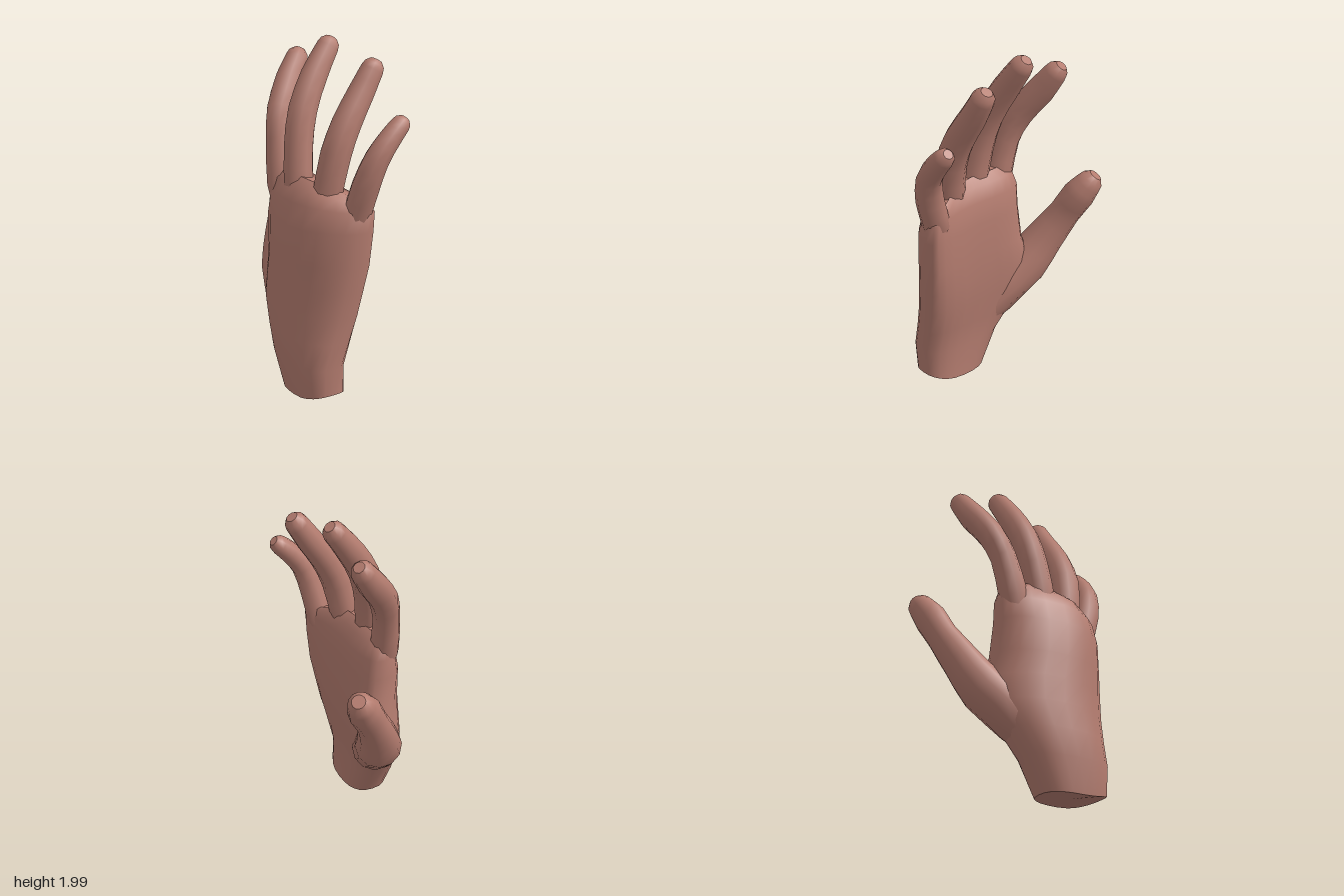
import * as THREE from 'three';

const skin = new THREE.MeshStandardMaterial({ color: 0xb57d70 });
skin.name = 'skin';

// Skin over equal-sized rings (counter-clockwise about the path), closed at both ends
function loft(rings, name) {
  const n = rings[0].length, pos = [], idx = [];
  const add = (p) => pos.push(p.x, p.y, p.z) / 3 - 1;
  rings.forEach((r) => r.forEach(add));
  for (let k = 0; k < rings.length - 1; k++) {
    for (let i = 0; i < n; i++) {
      const a = k * n + i, b = k * n + (i + 1) % n;
      idx.push(a, b, b + n, a, b + n, a + n);
    }
  }
  // caps have their own vertices so that their rims stay sharp
  [rings[0], rings[rings.length - 1]].forEach((r, end) => {
    const mid = new THREE.Vector3();
    r.forEach((p) => mid.addScaledVector(p, 1 / n));
    const c = add(mid), first = c + 1;
    r.forEach(add);
    for (let i = 0; i < n; i++) {
      const a = first + i, b = first + (i + 1) % n;
      if (end) idx.push(c, a, b); else idx.push(c, b, a);
    }
  });
  const g = new THREE.BufferGeometry();
  g.setAttribute('position', new THREE.Float32BufferAttribute(pos, 3));
  g.setIndex(idx);
  g.computeVertexNormals();
  const mesh = new THREE.Mesh(g, skin);
  mesh.name = name;
  return mesh;
}

// Tapered digit along points [x, y, z, radius] with a blunt rounded tip
function digit(name, pts, sides = 10) {
  const curve = new THREE.CatmullRomCurve3(pts.map((p) => new THREE.Vector3(p[0], p[1], p[2])));
  const steps = (pts.length - 1) * 2, rings = [];
  const ring = (c, t, r) => {
    const u = new THREE.Vector3(0, 0, 1).addScaledVector(t, -t.z).normalize();
    const v = new THREE.Vector3().crossVectors(t, u);
    rings.push(Array.from({ length: sides }, (_, i) => {
      const a = (i / sides) * Math.PI * 2;
      return c.clone().addScaledVector(u, r * Math.cos(a)).addScaledVector(v, r * Math.sin(a));
    }));
  };
  for (let s = 0; s <= steps; s++) {
    const k = Math.min(Math.floor(s / 2), pts.length - 2), f = s / 2 - k;
    ring(curve.getPoint(s / steps), curve.getTangent(s / steps), pts[k][3] * (1 - f) + pts[k + 1][3] * f);
  }
  const end = curve.getPoint(1), dir = curve.getTangent(1), r = pts[pts.length - 1][3];
  [[0.5, 0.87], [0.9, 0.5]].forEach(([d, w]) => ring(end.clone().addScaledVector(dir, d * r), dir, r * w));
  return loft(rings, name);
}

// Palm: arched cross-sections from wrist to knuckles
function palm() {
  // y, zMin, zMax, centre x, half thickness, arch on little-finger side, arch on thumb side, drop of the side
  const rows = [
    [0.0, 0.04, 0.455, -0.135, 0.135, 0, 0, -0.04],
    [0.2, -0.065, 0.465, -0.15, 0.145, 0.01, 0.02, 0],
    [0.35, -0.16, 0.475, -0.143, 0.152, 0.05, 0.05, 0],
    [0.5, -0.25, 0.49, -0.13, 0.158, 0.08, 0.08, 0],
    [0.65, -0.25, 0.505, -0.12, 0.16, 0.1, 0.09, 0],
    [0.8, -0.21, 0.52, -0.115, 0.16, 0.125, 0.06, 0],
    [1.0, -0.2, 0.53, -0.11, 0.155, 0.14, 0.03, 0],
    [1.13, -0.2, 0.525, -0.1, 0.13, 0.15, 0.02, 0.02],
    [1.21, -0.18, 0.48, -0.1, 0.095, 0.15, 0.01, 0.06],
    [1.255, -0.12, 0.4, -0.1, 0.045, 0.12, 0.0, 0.07],
  ];
  const n = 24, soft = (v, e) => Math.sign(v) * Math.abs(v) ** e;
  return loft(rows.map(([y, z0, z1, x, h, archP, archI, drop]) =>
    Array.from({ length: n }, (_, i) => {
      const a = (i / n) * Math.PI * 2, t = soft(Math.cos(a), 0.8);
      const arch = (t > 0 ? archP : archI) * t * t;
      return new THREE.Vector3(
        x + h * soft(Math.sin(a), 0.75) + arch,
        y - drop * Math.max(t, 0) ** 2,
        (z0 + z1) / 2 + t * (z1 - z0) / 2);
    })), 'palm');
}

export function createModel() {
  const hand = new THREE.Group();
  hand.name = 'hand';
  hand.add(
    palm(),
    digit('littleFinger', [
      [-0.05, 0.85, 0.4, 0.04], [0.015, 1.08, 0.445, 0.08], [0.035, 1.25, 0.498, 0.08],
      [0.082, 1.41, 0.535, 0.072], [0.165, 1.52, 0.543, 0.064], [0.225, 1.58, 0.543, 0.057]]),
    digit('ringFinger', [
      [-0.11, 0.9, 0.26, 0.05], [-0.07, 1.15, 0.28, 0.086], [-0.025, 1.4, 0.3, 0.09],
      [0.05, 1.57, 0.297, 0.086], [0.15, 1.72, 0.284, 0.078], [0.225, 1.84, 0.28, 0.068]]),
    digit('middleFinger', [
      [-0.13, 0.9, 0.1, 0.05], [-0.12, 1.15, 0.075, 0.086], [-0.1, 1.4, 0.04, 0.085],
      [-0.05, 1.6, 0.008, 0.086], [0.05, 1.78, -0.028, 0.08], [0.153, 1.925, -0.05, 0.067]]),
    digit('indexFinger', [
      [-0.12, 0.9, -0.05, 0.05], [-0.12, 1.15, -0.11, 0.085], [-0.1, 1.4, -0.167, 0.077],
      [-0.05, 1.56, -0.225, 0.083], [0.05, 1.71, -0.295, 0.082], [0.125, 1.82, -0.33, 0.068]]),
    // thumb with its fleshy base running down to the wrist
    digit('thumb', [
      [-0.13, 0.16, 0.16, 0.05], [-0.09, 0.41, -0.06, 0.135], [-0.02, 0.59, -0.245, 0.138],
      [0.045, 0.76, -0.355, 0.112], [0.12, 0.92, -0.435, 0.093], [0.19, 1.05, -0.48, 0.096],
      [0.228, 1.12, -0.515, 0.08]], 12),
  );
  return hand;
}
